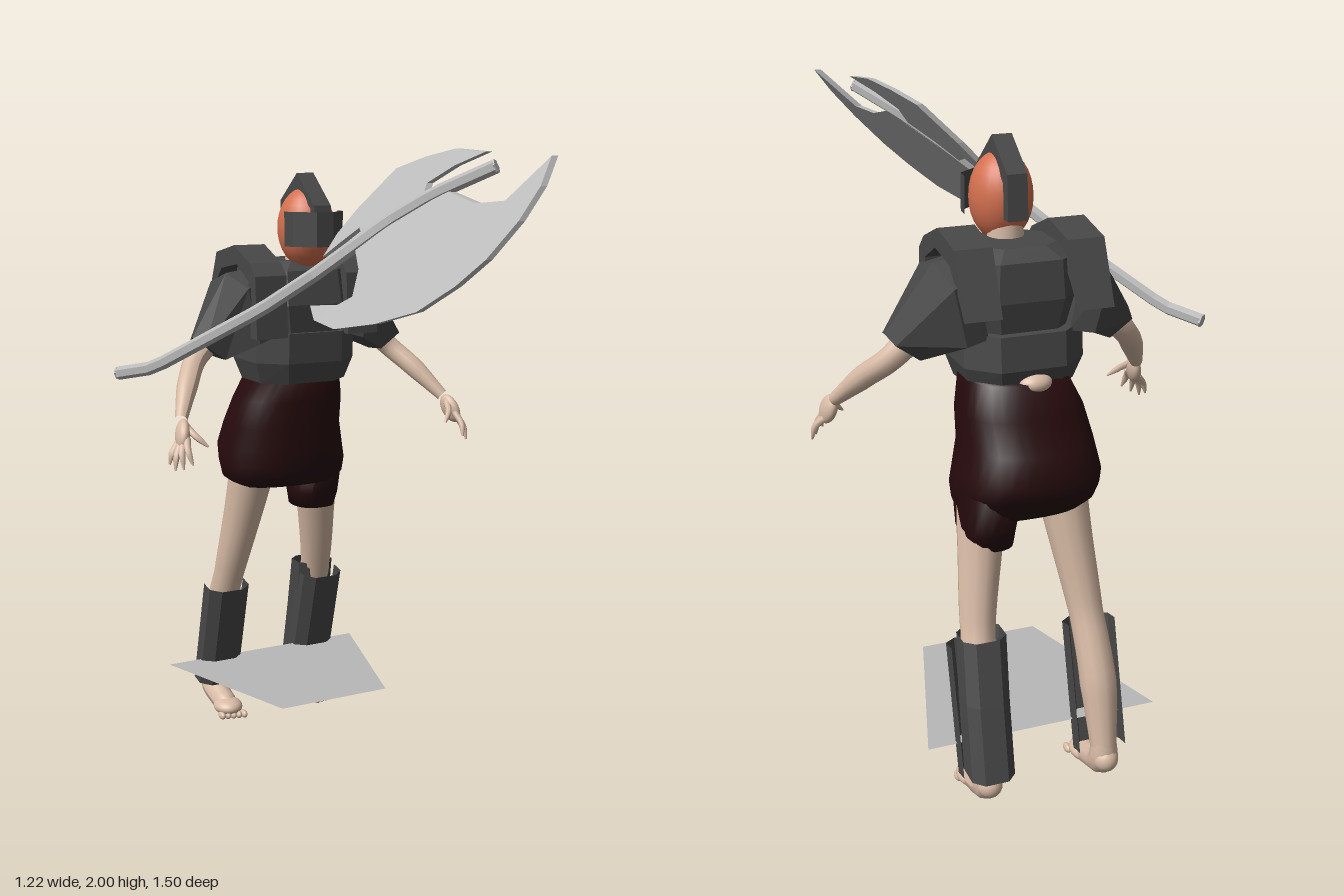
import * as THREE from 'three';

const mat = (name, color, side = THREE.FrontSide) => {
  const m = new THREE.MeshStandardMaterial({ color, side });
  m.name = name;
  return m;
};

export function createModel() {
  const skin = mat('skin', 0xd8bba6);
  const face = mat('face', 0xd4704f);
  const armour = mat('dark armour', 0x484848, THREE.DoubleSide);
  const cloth = mat('dark red cloth', 0x260a0c, THREE.DoubleSide);
  const steel = mat('steel', 0xb8b8b8, THREE.DoubleSide);

  const model = new THREE.Group();
  const add = (parent, name, geo, material) => {
    const m = new THREE.Mesh(geo, material);
    m.name = name;
    parent.add(m);
    return m;
  };
  const flat = (g) => {
    const f = g.index ? g.toNonIndexed() : g;
    f.computeVertexNormals();
    return f;
  };

  // Skins a list of rings of [x, y, z]; closed rings can be capped
  const loft = (rings, closed = true, caps = true) => {
    const n = rings[0].length, pos = rings.flat(2), idx = [];
    const at = (r, i) => r * n + (i % n);
    for (let r = 0; r < rings.length - 1; r++)
      for (let i = 0; i < (closed ? n : n - 1); i++)
        idx.push(at(r, i), at(r + 1, i), at(r, i + 1), at(r + 1, i), at(r + 1, i + 1), at(r, i + 1));
    if (closed && caps) {
      const top = rings.length - 1;
      for (let i = 1; i < n - 1; i++)
        idx.push(0, i, i + 1, at(top, 0), at(top, i + 1), at(top, i));
    }
    const g = new THREE.BufferGeometry();
    g.setAttribute('position', new THREE.Float32BufferAttribute(pos, 3));
    g.setIndex(idx);
    g.computeVertexNormals();
    return g;
  };

  // Level ring filling x0..x1 and z0..z1
  const ring = (y, x0, x1, z0, z1, n, power = 1, wave = 0) =>
    Array.from({ length: n }, (_, i) => {
      const t = ((i + 0.5) / n) * Math.PI * 2, w = 1 + wave * Math.sin(5 * t);
      const f = (v) => Math.sign(v) * Math.abs(v) ** power * w;
      return [(x0 + x1) / 2 + ((x1 - x0) / 2) * f(Math.cos(t)), y,
        (z0 + z1) / 2 + ((z1 - z0) / 2) * f(Math.sin(t))];
    });

  // Tube whose radius follows a list along its path
  const taper = (pts, radii, seg = 16, sides = 12) => {
    const curve = new THREE.CatmullRomCurve3(pts.map((p) => new THREE.Vector3(...p)));
    const g = new THREE.TubeGeometry(curve, seg, 1, sides);
    const p = g.attributes.position, v = new THREE.Vector3();
    for (let i = 0; i <= seg; i++) {
      const c = curve.getPointAt(i / seg), u = (i / seg) * (radii.length - 1);
      const k = Math.min(Math.floor(u), radii.length - 2);
      const r = THREE.MathUtils.lerp(radii[k], radii[k + 1], u - k);
      for (let j = 0; j <= sides; j++) {
        const q = i * (sides + 1) + j;
        v.fromBufferAttribute(p, q).sub(c).multiplyScalar(r).add(c);
        p.setXYZ(q, v.x, v.y, v.z);
      }
    }
    g.computeVertexNormals();
    return g;
  };

  // Side outline of [z, y] given a width in x, optionally leaning
  const sidePlate = (pts, width, lean = () => 0) => {
    const shape = new THREE.Shape(pts.map(([z, y]) => new THREE.Vector2(z, y)));
    const g = new THREE.ExtrudeGeometry(shape, { depth: width, bevelEnabled: false });
    const p = g.attributes.position;
    for (let i = 0; i < p.count; i++) {
      const z = p.getX(i), y = p.getY(i);
      p.setXYZ(i, lean(y, z) + width / 2 - p.getZ(i), y, z);
    }
    return flat(g);
  };

  const ball = (parent, name, material, c, r) => {
    const m = add(parent, name, new THREE.SphereGeometry(1, 24, 16), material);
    m.position.set(...c);
    m.scale.set(...r);
    return m;
  };

  const body = new THREE.Group();
  body.name = 'body';
  body.position.x = 0.05;
  model.add(body);

  // Head and open helmet
  ball(body, 'head', face, [0, 1.745, -0.275], [0.092, 0.13, 0.1]);
  add(body, 'helmetRidge', sidePlate([[-0.14, 1.7], [-0.16, 1.82], [-0.28, 1.92], [-0.4, 1.83],
    [-0.41, 1.7], [-0.375, 1.7], [-0.37, 1.8], [-0.28, 1.87], [-0.185, 1.81], [-0.17, 1.7]], 0.06), armour);
  const guard = [[-0.096, -0.24], [-0.09, -0.19], [-0.03, -0.14], [0.03, -0.14], [0.09, -0.19], [0.096, -0.24]];
  add(body, 'faceGuard', flat(loft([1.69, 1.8].map((y) => guard.map(([x, z]) => [x, y, z])), false)), armour);
  add(body, 'neck', new THREE.CylinderGeometry(0.05, 0.06, 0.12, 16), skin).position.set(0, 1.62, -0.31);

  // Breastplate and belt
  add(body, 'breastplate', flat(loft([
    ring(1.36, -0.15, 0.15, -0.5, -0.22, 8, 0.7),
    ring(1.5, -0.19, 0.19, -0.53, -0.2, 8, 0.7),
    ring(1.61, -0.18, 0.18, -0.52, -0.22, 8, 0.7),
    ring(1.64, -0.12, 0.12, -0.47, -0.26, 8, 0.7)])), armour);
  add(body, 'belt', flat(loft([
    ring(1.24, -0.165, 0.165, -0.52, -0.23, 8, 0.7),
    ring(1.31, -0.19, 0.19, -0.55, -0.2, 8, 0.7),
    ring(1.41, -0.19, 0.19, -0.54, -0.195, 8, 0.7)])), armour);
  ball(body, 'lowerBack', skin, [-0.01, 1.265, -0.52], [0.05, 0.03, 0.04]);

  // Skirt with a longer cuff over the left thigh
  add(model, 'skirt', loft([
    ring(0.87, -0.13, 0.24, -0.57, -0.34, 32, 0.8),
    ring(0.9, -0.17, 0.255, -0.6, -0.3, 32, 0.85, 0.01),
    ring(0.95, -0.175, 0.26, -0.64, -0.28, 32, 0.85, 0.015),
    ring(1.0, -0.17, 0.255, -0.665, -0.28, 32, 0.85, 0.015),
    ring(1.08, -0.155, 0.235, -0.63, -0.27, 32, 0.85, 0.01),
    ring(1.17, -0.135, 0.235, -0.575, -0.27, 32, 0.85),
    ring(1.27, -0.085, 0.22, -0.55, -0.27, 32, 0.85)]), cloth);
  add(model, 'skirtCuff', loft([
    ring(0.77, 0.09, 0.235, -0.545, -0.38, 20, 0.8),
    ring(0.82, 0.085, 0.25, -0.56, -0.37, 20, 0.8),
    ring(0.95, 0.07, 0.255, -0.6, -0.33, 20, 0.8)]), cloth);

  // One side of the body, mirrored for the other
  const greaveSection = [[-0.075, -0.08], [-0.075, -0.03], [-0.04, 0], [0.04, 0], [0.075, -0.03], [0.075, -0.08]];
  for (const [side, s] of [['left', 1], ['right', -1]]) {
    const half = new THREE.Group();
    half.name = side + 'Side';
    half.scale.x = s;
    body.add(half);

    add(half, 'shoulderStrap', sidePlate([[-0.19, 1.4], [-0.2, 1.6], [-0.24, 1.64], [-0.36, 1.69],
      [-0.5, 1.66], [-0.58, 1.48], [-0.53, 1.54], [-0.46, 1.61], [-0.34, 1.63], [-0.25, 1.58], [-0.24, 1.4]], 0.11),
    armour).position.x = 0.165;
    add(half, 'sleeve', flat(loft([
      [[0.12, 1.4, -0.25], [0.16, 1.58, -0.25], [0.17, 1.61, -0.38], [0.16, 1.58, -0.5], [0.12, 1.4, -0.5], [0.12, 1.38, -0.38]],
      [[0.19, 1.38, -0.23], [0.23, 1.56, -0.23], [0.24, 1.6, -0.38], [0.23, 1.56, -0.53], [0.19, 1.39, -0.52], [0.18, 1.37, -0.38]],
      [[0.29, 1.33, -0.28], [0.36, 1.38, -0.28], [0.375, 1.4, -0.35], [0.36, 1.38, -0.41], [0.29, 1.33, -0.41], [0.28, 1.325, -0.35]],
    ])), armour);

    // Arm, palm and fingers
    add(half, 'arm', taper([[0.27, 1.42, -0.37], [0.36, 1.33, -0.36], [0.42, 1.26, -0.29], [0.485, 1.165, -0.195]],
      [0.045, 0.036, 0.034, 0.02]), skin);
    const palm = ball(half, 'palm', skin, [0.495, 1.125, -0.16], [0.022, 0.052, 0.038]);
    palm.rotation.set(-0.6, 0, 0.25);
    [[0.545, 1.035, -0.15], [0.538, 1.02, -0.12], [0.52, 1.025, -0.095], [0.495, 1.04, -0.078], [0.435, 1.09, -0.095]]
      .forEach(([x, y, z], i) => {
        const from = i < 4 ? [0.508 - i * 0.005, 1.1 + i * 0.005, -0.165 + i * 0.012] : [0.482, 1.15, -0.165];
        const mid = [(x + from[0]) / 2 + 0.008, (y + from[1]) / 2 + 0.003, (z + from[2]) / 2 + 0.006];
        add(half, i < 4 ? 'finger' : 'thumb', taper([from, mid, [x, y, z]], [0.012, 0.011, 0.01, 0.003], 8, 8), skin);
      });

    // Leg, foot and toes
    add(half, 'leg', taper([[0.12, 0.95, -0.44], [0.14, 0.78, -0.48], [0.17, 0.55, -0.54],
      [0.185, 0.35, -0.61], [0.187, 0.1, -0.675]], [0.08, 0.065, 0.052, 0.056, 0.038], 24), skin);
    add(half, 'foot', taper([[0.187, 0.15, -0.67], [0.187, 0.08, -0.665], [0.187, 0.05, -0.6], [0.187, 0.026, -0.5]],
      [0.038, 0.045, 0.042, 0.04, 0.022]), skin);
    ball(half, 'heel', skin, [0.187, 0.09, -0.68], [0.04, 0.042, 0.045]);
    ball(half, 'ballOfFoot', skin, [0.187, 0.035, -0.54], [0.05, 0.03, 0.06]);
    for (let i = 0; i < 5; i++)
      ball(half, 'toe', skin, [0.148 + i * 0.019, 0.014, -0.49 - i * 0.005], [0.011, 0.014, 0.022]);

    // Shin plate open at the back
    add(half, 'shinPlate', flat(loft([[0.11, -0.59], [0.49, -0.485]].map(([y, z]) =>
      greaveSection.map(([x, dz]) => [0.185 + x, y - dz * 0.2 - 0.01, z + dz])), false)), armour);
  }

  // Calf guard closing the left greave
  add(model, 'leftCalfGuard', flat(loft([
    ring(0.13, 0.165, 0.305, -0.75, -0.61, 8, 0.7),
    ring(0.35, 0.16, 0.3, -0.69, -0.55, 8, 0.7),
    ring(0.53, 0.15, 0.29, -0.63, -0.51, 8, 0.7)], true, false)), armour);

  // Axe: bent six-sided shaft and two leaning crescent blades
  const shaftPath = new THREE.CurvePath();
  const shaftPts = [[-0.6, 1.31, -0.3], [-0.52, 1.335, -0.2], [-0.275, 1.53, 0.07], [-0.155, 1.64, 0.19],
    [0.025, 1.79, 0.29], [0.125, 1.87, 0.38], [0.245, 1.95, 0.52]].map((p) => new THREE.Vector3(...p));
  for (let i = 1; i < shaftPts.length; i++) shaftPath.add(new THREE.LineCurve3(shaftPts[i - 1], shaftPts[i]));
  add(model, 'axeShaft', flat(new THREE.TubeGeometry(shaftPath, 24, 0.021, 6)), steel);
  [0, shaftPts.length - 1].forEach((i) => {
    const cap = add(model, 'shaftEnd', flat(new THREE.CylinderGeometry(0.021, 0.021, 0.006, 6)), steel);
    cap.position.copy(shaftPts[i]);
    const dir = shaftPts[i ? i : 1].clone().sub(shaftPts[i ? i - 1 : 0]).normalize();
    cap.quaternion.setFromUnitVectors(new THREE.Vector3(0, 1, 0), dir);
  });
  const lean = (y, z) => 0.98 * y + 0.25 * z - 1.79;
  add(model, 'largeBlade', sidePlate([[0.69, 1.98], [0.655, 1.86], [0.56, 1.85], [0.42, 1.88], [0.24, 1.72],
    [0.33, 1.66], [0.39, 1.59], [0.36, 1.565], [0.26, 1.555], [0.32, 1.52], [0.42, 1.505], [0.55, 1.53],
    [0.66, 1.57], [0.72, 1.64], [0.75, 1.71], [0.755, 1.81], [0.735, 1.9]], 0.022, lean), steel);
  add(model, 'smallBlade', sidePlate([[0.445, 1.99], [0.37, 1.95], [0.32, 1.9], [0.36, 1.84], [0.25, 1.74],
    [0.2, 1.77], [0.175, 1.73], [0.15, 1.685], [0.13, 1.75], [0.128, 1.82], [0.15, 1.94], [0.23, 1.975],
    [0.32, 1.998]], 0.022, lean), steel);

  // Thin level plate around the shins
  add(model, 'groundPlate', loft([
    [[-0.33, 0.2, -0.61], [0.4, 0.2, -0.61]],
    [[-0.16, 0.2, -0.045], [0.23, 0.2, -0.045]]], false), steel);

  return model;
}
